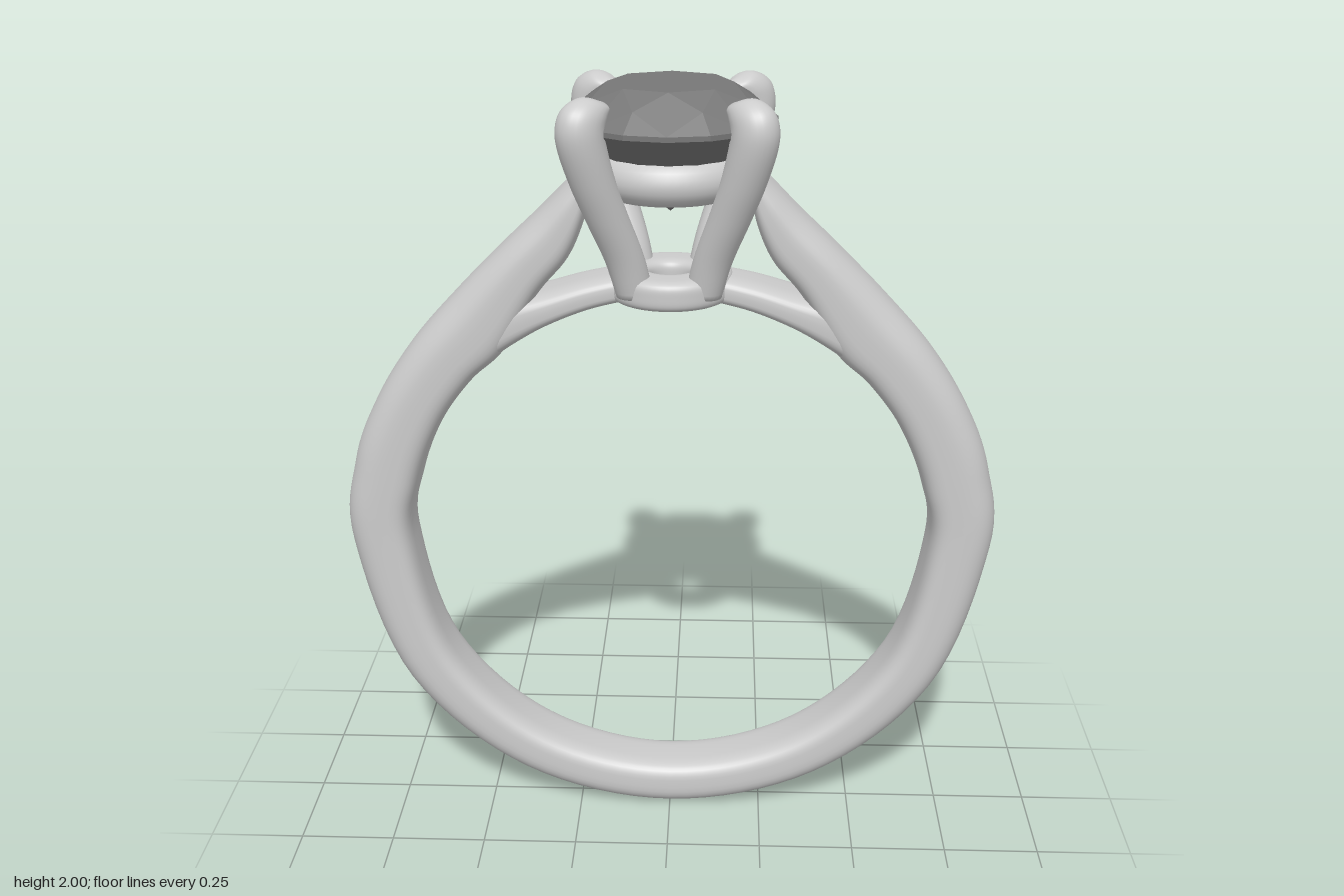
import * as THREE from 'three';
import { ConvexGeometry } from 'three/addons/geometries/ConvexGeometry.js';

const metal = new THREE.MeshStandardMaterial({ color: 0xcccccc });
const stone = new THREE.MeshStandardMaterial({ color: 0x777777, flatShading: true });

// Sweep a rounded section through stations [innerX, innerY, outerX, outerY, halfWidth]
// pIn / pOut set how square the inner and outer halves of the section are.
function sweep(stations, steps, pIn, pOut, sides = 40) {
  const curve = (a, b) => new THREE.CatmullRomCurve3(
    stations.map((s) => new THREE.Vector3(s[a], s[b], s[4])), false, 'catmullrom', 0.5);
  const inner = curve(0, 1), outer = curve(2, 3);
  const pos = [], idx = [];
  const pow = (v, p) => Math.sign(v) * Math.abs(v) ** p;
  for (let i = -1; i <= steps + 1; i++) {
    const t = Math.min(Math.max(i / steps, 0), 1);
    const scale = i < 0 || i > steps ? 0 : 1; // end rings collapse into caps
    const a = inner.getPoint(t), b = outer.getPoint(t);
    const mid = a.clone().add(b).multiplyScalar(0.5);
    const half = b.clone().sub(a).multiplyScalar(0.5 * scale);
    for (let j = 0; j < sides; j++) {
      const ang = (j / sides) * Math.PI * 2;
      const c = Math.cos(ang), p = c > 0 ? pOut : pIn;
      const u = pow(c, p), v = pow(Math.sin(ang), p);
      pos.push(mid.x + half.x * u, mid.y + half.y * u, a.z * v * scale);
    }
  }
  for (let i = 0; i < steps + 2; i++) {
    for (let j = 0; j < sides; j++) {
      const k = (j + 1) % sides;
      const a = i * sides + j, b = i * sides + k, c = a + sides, d = b + sides;
      idx.push(a, c, b, b, c, d);
    }
  }
  const g = new THREE.BufferGeometry();
  g.setAttribute('position', new THREE.Float32BufferAttribute(pos, 3));
  g.setIndex(idx);
  g.computeVertexNormals();
  return g;
}

function add(parent, name, geometry, material = metal, turn = 0) {
  const m = new THREE.Mesh(geometry, material);
  m.name = name;
  m.rotation.y = turn;
  parent.add(m);
  return m;
}

// Points evenly spaced on a horizontal circle
function circle(n, r, y, offset = 0) {
  return Array.from({ length: n }, (_, i) => {
    const a = ((i + offset) / n) * Math.PI * 2;
    return new THREE.Vector3(Math.cos(a) * r, y, Math.sin(a) * r);
  });
}

export function createModel() {
  const ring = new THREE.Group();
  ring.name = 'ring';

  // Band: round below, rising into two shoulder arms
  const cy = 0.808, ri = 0.677;
  const lower = [[0, 0.808, 0.085], [30, 0.812, 0.09], [60, 0.825, 0.096], [90, 0.841, 0.098]]
    .map(([deg, ro, w]) => {
      const a = THREE.MathUtils.degToRad(deg), s = Math.sin(a), c = Math.cos(a);
      return [ri * s, cy - ri * c, ro * s, cy - ro * c, w];
    });
  const right = [
    ...lower,
    [0.652, 0.983, 0.82, 1.03, 0.099],
    [0.585, 1.145, 0.755, 1.195, 0.099],
    [0.5, 1.262, 0.655, 1.35, 0.099],
    [0.415, 1.342, 0.53, 1.49, 0.099],
    [0.325, 1.49, 0.41, 1.61, 0.099],
    [0.25, 1.58, 0.32, 1.695, 0.098],
    [0.21, 1.67, 0.255, 1.76, 0.095],
    [0.198, 1.74, 0.215, 1.797, 0.085],
    [0.195, 1.77, 0.2, 1.8, 0.06],
  ];
  const left = right.slice(1).reverse().map(([a, b, c, d, w]) => [-a, b, -c, d, w]);
  add(ring, 'band', sweep([...left, ...right], 192, 0.55, 0.8));

  // Thin bridges closing the finger hole under the head
  const bridge = sweep([
    [0.46, 1.31, 0.5, 1.44, 0.09],
    [0.38, 1.366, 0.4, 1.475, 0.092],
    [0.3, 1.412, 0.31, 1.497, 0.09],
    [0.2, 1.452, 0.21, 1.525, 0.084],
    [0.1, 1.476, 0.1, 1.547, 0.076],
    [0.075, 1.479, 0.075, 1.547, 0.07],
  ], 30, 0.55, 0.65);
  add(ring, 'leftBridge', bridge);
  add(ring, 'rightBridge', bridge, metal, Math.PI);

  // Base collar with a through hole
  const collar = new THREE.Shape();
  collar.absellipse(0.103, 1.512, 0.053, 0.038, 0, Math.PI * 2);
  const collarPts = collar.getPoints(32).map((p) => {
    const u = (p.x - 0.103) / 0.053, v = (p.y - 1.512) / 0.038;
    const f = (u ** 4 + v ** 4) ** -0.25; // squared-off oval
    return new THREE.Vector2(0.103 + 0.053 * u * f, 1.512 + 0.038 * v * f);
  });
  add(ring, 'baseCollar', new THREE.LatheGeometry(collarPts, 48));

  // Gallery ring under the stone
  const gallery = add(ring, 'galleryRing', new THREE.TorusGeometry(0.145, 0.055, 20, 56).rotateX(Math.PI / 2));
  gallery.position.y = 1.79;

  // Four claw prongs on the diagonals
  const prong = sweep([
    [0.07, 1.5, 0.165, 1.5, 0.042],
    [0.1, 1.6, 0.2, 1.595, 0.045],
    [0.155, 1.72, 0.255, 1.7, 0.048],
    [0.19, 1.8, 0.3, 1.79, 0.051],
    [0.215, 1.88, 0.335, 1.88, 0.053],
    [0.22, 1.92, 0.34, 1.935, 0.052],
    [0.21, 1.945, 0.32, 1.975, 0.046],
    [0.2, 1.957, 0.27, 1.995, 0.032],
    [0.195, 1.962, 0.215, 1.98, 0.01],
  ], 56, 1, 1, 24);
  for (let i = 0; i < 4; i++) add(ring, 'prong', prong, metal, Math.PI / 4 + (i * Math.PI) / 2);

  // Faceted round stone: table, crown, girdle, pavilion and point
  add(ring, 'stone', new ConvexGeometry([
    ...circle(8, 0.15, 2),
    ...circle(8, 0.207, 1.963, 0.5),
    ...circle(16, 0.257, 1.92),
    ...circle(16, 0.257, 1.908),
    ...circle(8, 0.075, 1.752, 0.5),
    new THREE.Vector3(0, 1.69, 0),
  ]), stone);

  return ring;
}
